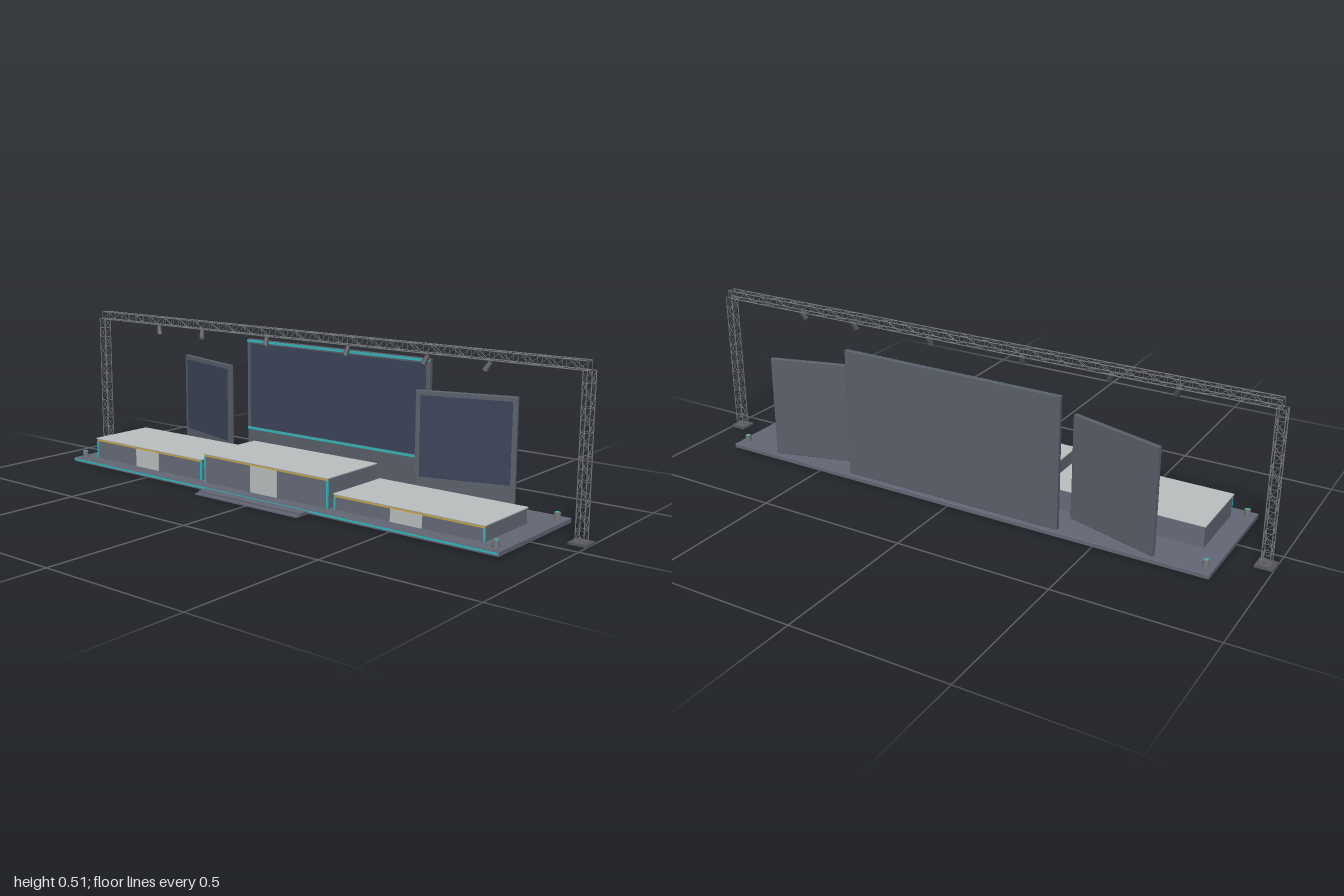
import * as THREE from 'three';
import { mergeGeometries } from 'three/addons/utils/BufferGeometryUtils.js';
import { RoundedBoxGeometry } from 'three/addons/geometries/RoundedBoxGeometry.js';

const mat = (name, color, extra = {}) =>
  Object.assign(new THREE.MeshStandardMaterial({ color, ...extra }), { name });

export function createModel() {
  const M = {
    deck: mat('slate deck', 0x646775),
    body: mat('slate riser', 0x676c78),
    frame: mat('screen frame grey', 0x5a606b),
    screen: mat('navy screen', 0x3b455a),
    top: mat('pale grey', 0xbcc0c0),
    metal: mat('truss metal', 0x77797a),
    dark: mat('dark metal', 0x55575c),
    teal: mat('teal light', 0x35b8bd),
    gold: mat('gold trim', 0xc9a94a),
  };
  const root = new THREE.Group();
  root.name = 'concertStage';

  const add = (parent, name, geo, material) => {
    const m = new THREE.Mesh(geo, material);
    m.name = name;
    parent.add(m);
    return m;
  };
  const group = (name) => {
    const g = new THREE.Group();
    g.name = name;
    root.add(g);
    return g;
  };
  // Box given by its extents; a radius softens the edges
  const box = (parent, name, material, [x0, x1], [y0, y1], [z0, z1], r = 0) => {
    const s = [x1 - x0, y1 - y0, z1 - z0];
    const geo = r ? new RoundedBoxGeometry(...s, 1, r) : new THREE.BoxGeometry(...s);
    const m = add(parent, name, geo, material);
    m.position.set((x0 + x1) / 2, (y0 + y1) / 2, (z0 + z1) / 2);
    return m;
  };

  // Base platform, front light strip and two entry steps
  const base = group('platform');
  box(base, 'platformDeck', M.deck, [-0.862, 0.862], [0.003, 0.018], [-0.236, 0.186], 0.002);
  box(base, 'platformLight', M.teal, [-0.86, 0.86], [0.009, 0.015], [0.185, 0.1875]);
  box(base, 'upperStep', M.deck, [-0.21, 0.21], [0.003, 0.0125], [0.18, 0.222]);
  box(base, 'lowerStep', M.deck, [-0.21, 0.21], [0.002, 0.007], [0.18, 0.238]);

  // Corner posts with a small light on top
  for (const x of [-0.836, 0.836]) for (const z of [-0.195, 0.155]) {
    add(base, 'cornerPost', new THREE.CylinderGeometry(0.0095, 0.0095, 0.022, 16), M.metal)
      .position.set(x, 0.029, z);
    add(base, 'postLight', new THREE.CylinderGeometry(0.006, 0.006, 0.002, 16), M.teal)
      .position.set(x, 0.0405, z);
  }

  // Risers: body, slab, gold lip, corner lights and a pale front panel
  const riser = (name, x0, x1, h, front) => {
    const g = group(name), mid = (x0 + x1) / 2;
    box(g, 'riserBody', M.body, [x0, x1], [0.018, h - 0.005], [-0.099, front]);
    box(g, 'riserTop', M.top, [x0 - 0.003, x1 + 0.003], [h - 0.005, h], [-0.102, front + 0.003], 0.0015);
    box(g, 'goldLip', M.gold, [x0, x1], [h - 0.0105, h - 0.005], [front - 0.008, front + 0.0015]);
    for (const x of [x0 + 0.002, x1 - 0.002])
      box(g, 'cornerLight', M.teal, [x - 0.003, x + 0.003], [0.019, h - 0.011], [front - 0.003, front + 0.002]);
    box(g, 'frontPanel', M.top, [mid - 0.055, mid + 0.055], [0.018, h - 0.011], [front, front + 0.002]);
  };
  riser('centreRiser', -0.255, 0.255, 0.115, 0.145);
  riser('leftRiser', 0.272, 0.789, 0.068, 0.135);
  riser('rightRiser', -0.793, -0.28, 0.09, 0.135);

  // Centre screen wall
  const wall = group('centreScreen');
  box(wall, 'centreFrame', M.frame, [-0.38, 0.38], [0.018, 0.445], [-0.221, -0.206], 0.002);
  box(wall, 'centreDisplay', M.screen, [-0.365, 0.365], [0.135, 0.43], [-0.2065, -0.2045]);
  for (const y of [0.129, 0.439])
    box(wall, 'screenLight', M.teal, [-0.378, 0.378], [y - 0.004, y + 0.004], [-0.2065, -0.203]);

  // Side screens, angled forward
  for (const s of [-1, 1]) {
    const g = group(s > 0 ? 'leftScreen' : 'rightScreen');
    g.position.set(s * 0.535, 0, -0.171);
    g.rotation.y = -s * -0.282 * -1;
    g.rotation.y = s * 0.282;
    box(g, 'sideFrame', M.frame, [-0.158, 0.158], [0.018, 0.36], [-0.0075, 0.0075], 0.002);
    box(g, 'sideDisplay', M.screen, [-0.142, 0.142], [0.09, 0.345], [0.007, 0.009]);
  }

  // Lattice truss: four chords with rungs and crossing diagonals
  const strut = (a, b, r) => {
    const d = b.clone().sub(a);
    const q = new THREE.Quaternion().setFromUnitVectors(new THREE.Vector3(0, 1, 0), d.clone().normalize());
    const geo = new THREE.CylinderGeometry(r, r, d.length(), 6);
    return geo.applyQuaternion(q).translate(...a.clone().add(b).multiplyScalar(0.5).toArray());
  };
  const truss = (length, bays, half) => {
    const parts = [];
    const corners = [[-1, -1], [1, -1], [1, 1], [-1, 1]];
    const at = (c, y) => new THREE.Vector3(corners[c % 4][0] * half, y, corners[c % 4][1] * half);
    for (let c = 0; c < 4; c++) {
      parts.push(strut(at(c, 0), at(c, length), 0.0017));
      for (let i = 0; i <= bays; i++) {
        const y = (length * i) / bays;
        parts.push(strut(at(c, y), at(c + 1, y), 0.0009));
        if (i === bays) continue;
        const flip = i % 2;
        parts.push(strut(at(c + flip, y), at(c + 1 - flip, y + length / bays), 0.0009));
      }
    }
    return mergeGeometries(parts);
  };
  const rig = group('lightingRig');
  const trussZ = -0.0735;
  for (const x of [-0.972, 0.972]) {
    box(rig, 'footPlate', M.dark, [x - 0.028, x + 0.028], [0, 0.007], [trussZ - 0.027, trussZ + 0.027]);
    add(rig, 'trussColumn', truss(0.478, 14, 0.0133), M.metal).position.set(x, 0.007, trussZ);
  }
  const beam = add(rig, 'trussBeam', truss(1.944, 52, 0.0133), M.metal);
  beam.rotation.z = -Math.PI / 2;
  beam.position.set(-0.972, 0.498, trussZ);

  // Spotlights hung below the beam, aimed forward and inward
  for (const x of [-0.67, -0.46, -0.168, 0.165, 0.457, 0.667]) {
    const lamp = new THREE.Group();
    lamp.name = 'spotlight';
    lamp.position.set(x, 0.467, -0.062);
    lamp.rotation.set(-0.4, 0, -x * 0.65 * -1);
    rig.add(lamp);
    add(lamp, 'lampBody', new THREE.CylinderGeometry(0.0075, 0.0095, 0.029, 12), M.dark);
    add(lamp, 'lampLens', new THREE.CylinderGeometry(0.0075, 0.0075, 0.001, 12), M.top).position.y = -0.0147;
    box(rig, 'lampHanger', M.dark, [x - 0.002, x + 0.002], [0.468, 0.486], [-0.068, -0.064]);
  }
  // Lamps lean so that their lenses face the stage centre
  rig.children.filter((o) => o.name === 'spotlight').forEach((o) => {
    o.rotation.z = -o.position.x * 0.65;
  });
  return root;
}
